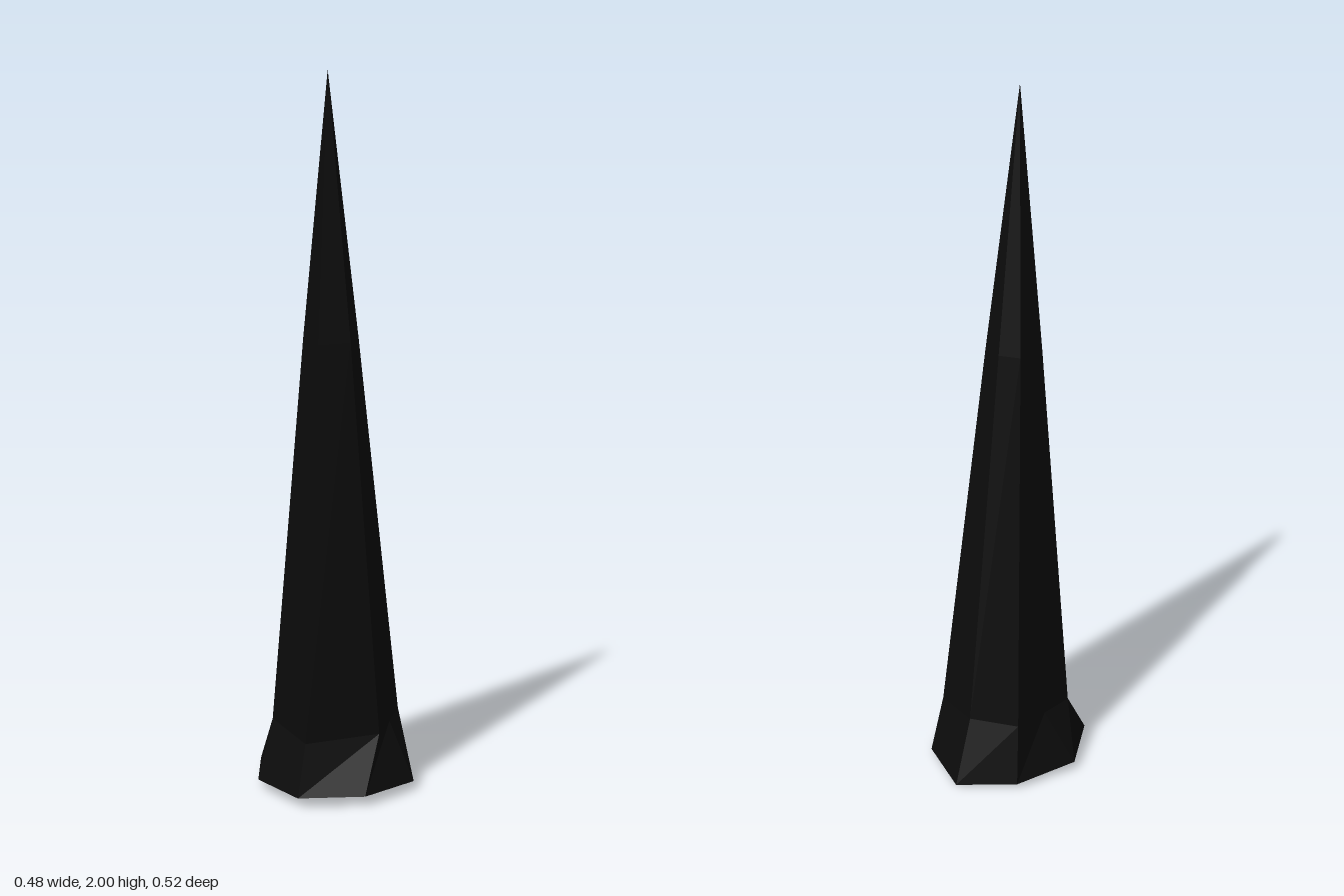
import * as THREE from 'three';

// Half outlines from front (+z) to back (-z): [x, y, z]
const rim = [[0, 0.03, 0.26], [0.164, 0.03, 0.173], [0.24, 0.027, 0], [0.156, 0.015, -0.175], [0, 0, -0.262]];
const collar = [[0, 0.17, 0.21], [0.165, 0.18, 0.075], [0.153, 0.183, -0.03], [0.135, 0.187, -0.14], [0, 0.19, -0.19]];
const tip = [0, 2, 0.055];

// Complete a half outline into a closed ring of eight corners
function mirrorRing(half) {
  const other = half.slice(1, -1).reverse().map(([x, y, z]) => [-x, y, z]);
  return [...half, ...other];
}

// Join consecutive rings with flat facets
function loft(rings) {
  const positions = [];
  for (let r = 0; r < rings.length - 1; r++) {
    const low = rings[r], high = rings[r + 1], n = low.length;
    for (let i = 0; i < n; i++) {
      const j = (i + 1) % n;
      positions.push(...low[i], ...low[j], ...high[j]);
      if (high[i] !== high[j]) positions.push(...low[i], ...high[j], ...high[i]);
    }
  }
  const geometry = new THREE.BufferGeometry();
  geometry.setAttribute('position', new THREE.Float32BufferAttribute(positions, 3));
  geometry.computeVertexNormals();
  return geometry;
}

export function createModel() {
  const group = new THREE.Group();
  group.name = 'spike';
  const black = new THREE.MeshStandardMaterial({ color: 0x0b0b0b, flatShading: true, side: THREE.DoubleSide });
  black.name = 'black';

  const base = mirrorRing(rim);
  const neck = mirrorRing(collar);
  // Slight swelling part way up the shaft
  const t = 0.6;
  const middle = neck.map(([x, y, z]) => [
    x * (1 - t) * 1.08,
    y + (tip[1] - y) * t,
    z + (tip[2] - z) * t,
  ]);
  const point = neck.map(() => tip);

  // Flared foot, open underneath
  const foot = new THREE.Mesh(loft([base, neck]), black);
  foot.name = 'flaredFoot';
  // Tall tapering shaft
  const shaft = new THREE.Mesh(loft([neck, middle, point]), black);
  shaft.name = 'shaft';

  group.add(foot, shaft);
  return group;
}
